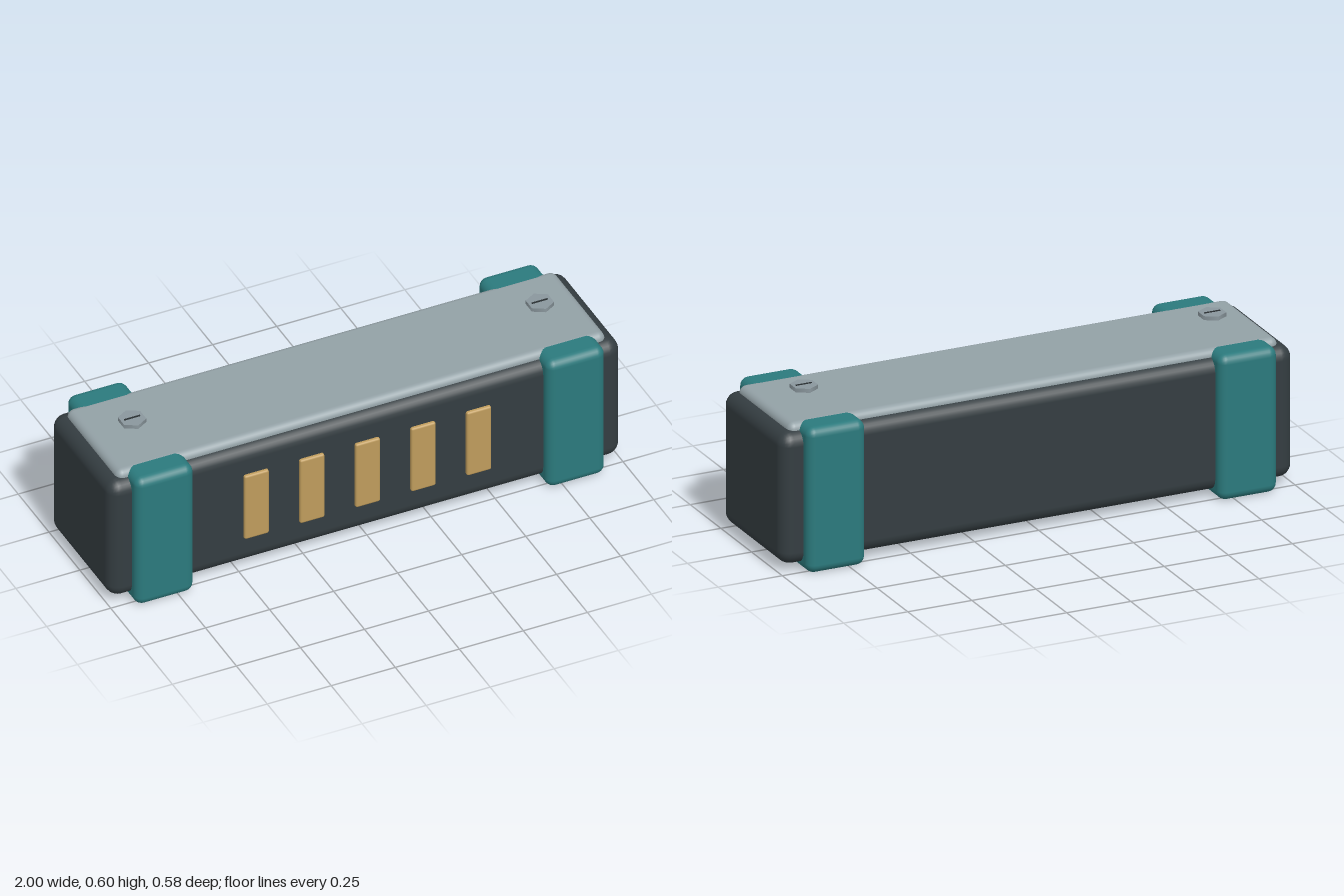
import * as THREE from 'three';
import { RoundedBoxGeometry } from 'three/addons/geometries/RoundedBoxGeometry.js';

const paint = (color) => new THREE.MeshStandardMaterial({ color });

export function createModel() {
  const model = new THREE.Group();
  const dark = paint(0x343d41), teal = paint(0x2b7a7d), steel = paint(0x93a1a6);
  const brass = paint(0xbf9c5c), screwGrey = paint(0x8a979d), slotGrey = paint(0x2a3033);

  const add = (name, geometry, material, x, y, z, parent = model) => {
    const mesh = new THREE.Mesh(geometry, material);
    mesh.name = name;
    mesh.position.set(x, y, z);
    parent.add(mesh);
    return mesh;
  };
  const rounded = (w, h, d, r, segments = 3) => new RoundedBoxGeometry(w, h, d, segments, r);

  // Long rounded body with a metal plate let into its top
  add('body', rounded(2, 0.5, 0.5, 0.05), dark, 0, 0.276, 0);
  add('topPlate', rounded(1.91, 0.06, 0.43, 0.028), steel, 0, 0.521, 0);

  // Contact strips along the front
  for (let i = -2; i <= 2; i++) {
    add('contact', rounded(0.096, 0.276, 0.03, 0.008, 2), brass, i * 0.217, 0.278, 0.248);
  }

  for (const side of [-1, 1]) {
    // Bumper band around each end
    add('bumperBand', rounded(0.228, 0.55, 0.584, 0.033), teal, side * 0.803, 0.275, 0);

    // Slotted hexagonal screw above the plate
    const screw = new THREE.Group();
    screw.name = 'screw';
    screw.position.set(side * 0.796, 0.593, 0);
    const head = new THREE.CylinderGeometry(0.05, 0.05, 0.015, 6);
    add('screwHead', head, screwGrey, 0, 0, 0, screw);
    add('screwSlot', new THREE.BoxGeometry(0.062, 0.004, 0.006), slotGrey, 0, 0.008, 0, screw);
    model.add(screw);
  }

  return model;
}
